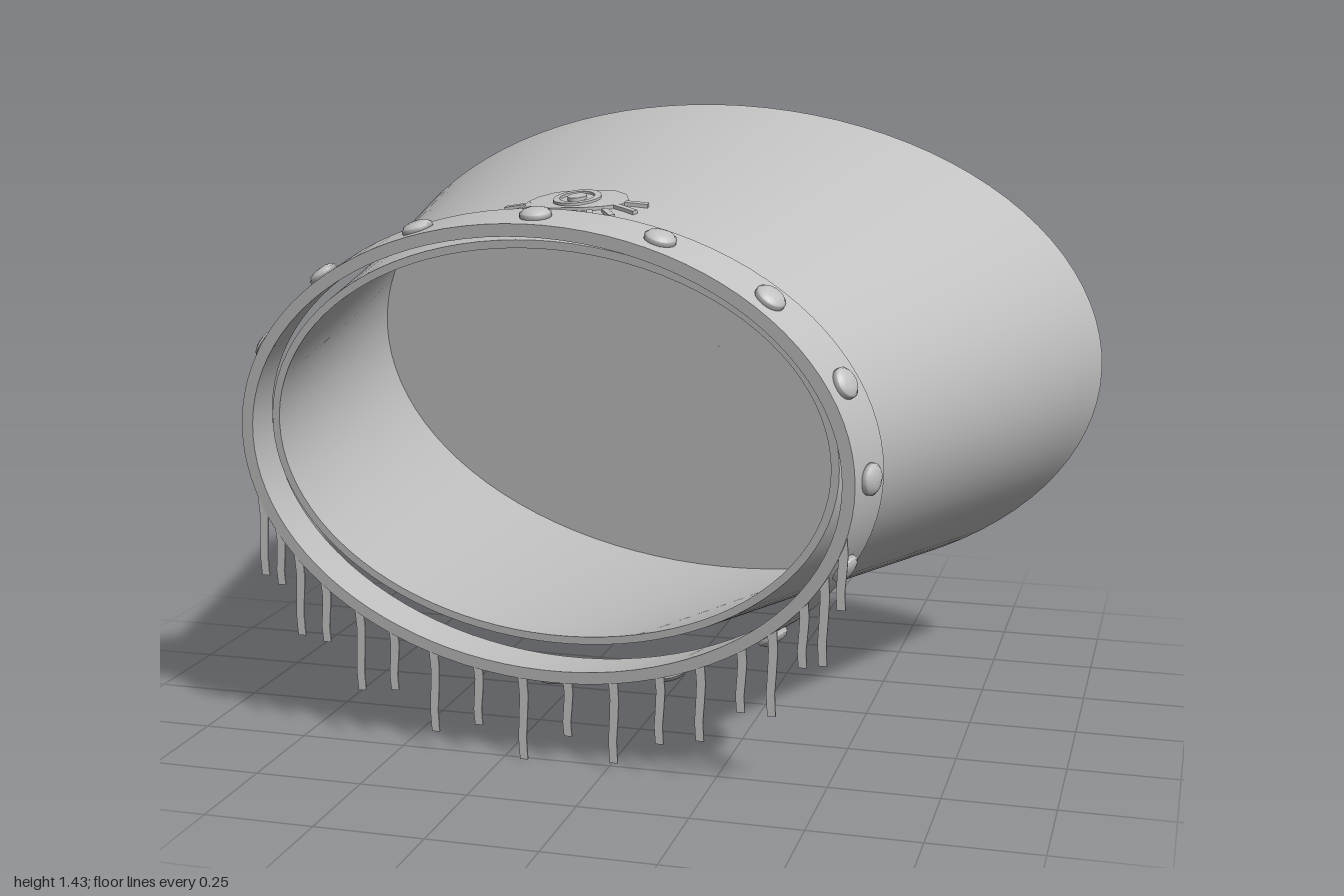
import * as THREE from 'three';

const N = 96;
const TILT_X = 0.09, TILT_Y = 0.079; // every cross-section leans by the same amount
const lerp = THREE.MathUtils.lerp;

// An oval section: centre, radii and depth of its leaning plane
const oval = (cx, cy, rx, ry, z) => ({ cx, cy, rx, ry, z });
const shrink = (s, d, dz = 0) => oval(s.cx, s.cy, s.rx - d, s.ry - d, s.z + dz);
const centre = (s) => oval(s.cx, s.cy, 0.001, 0.001, s.z);
const at = (s, a) => {
  const x = s.rx * Math.cos(a), y = s.ry * Math.sin(a);
  return new THREE.Vector3(s.cx + x, s.cy + y, s.z + TILT_X * x + TILT_Y * y);
};

// Smooth skin through sections; faces outward when they run front to back
function loft(sections) {
  const pos = [], index = [];
  sections.forEach((s, i) => {
    for (let j = 0; j < N; j++) {
      pos.push(...at(s, (j / N) * Math.PI * 2).toArray());
      if (i === 0) continue;
      const k = (j + 1) % N, p = (i - 1) * N, q = i * N;
      index.push(p + j, q + j, p + k, q + j, q + k, p + k);
    }
  });
  const g = new THREE.BufferGeometry();
  g.setAttribute('position', new THREE.Float32BufferAttribute(pos, 3));
  g.setIndex(index);
  g.computeVertexNormals();
  return g;
}

// Flared body, slightly waisted between mouth and back
const mouth = oval(-0.145, 0.735, 0.675, 0.46, 0.52);
const back = oval(0, 0.795, 1, 0.636, -0.54);
function bodyAt(t) {
  const s = {};
  for (const k in mouth) s[k] = lerp(mouth[k], back[k], t);
  s.ry -= 0.008 * Math.sin(Math.PI * t);
  s.cy -= 0.006 * Math.sin(Math.PI * t);
  return s;
}

// Height of the body's upper surface above a point
function topOfBody(x, z) {
  const z0 = mouth.z + TILT_X * (x - mouth.cx) + TILT_Y * mouth.ry;
  const z1 = back.z + TILT_X * (x - back.cx) + TILT_Y * back.ry;
  const s = bodyAt((z0 - z) / (z0 - z1));
  return s.cy + s.ry * Math.sqrt(1 - ((x - s.cx) / s.rx) ** 2);
}

// Flat shape (x, -z) extruded and draped over the body
function drape(shape, low, high) {
  const g = new THREE.ExtrudeGeometry(shape, { depth: high - low, bevelEnabled: false, curveSegments: 16 });
  g.rotateX(-Math.PI / 2);
  const p = g.attributes.position;
  for (let i = 0; i < p.count; i++) {
    p.setY(i, p.getY(i) + low + topOfBody(p.getX(i), p.getZ(i)));
  }
  g.computeVertexNormals();
  return g;
}

const polygon = (pts) => new THREE.Shape(pts.map(([x, z]) => new THREE.Vector2(x, -z)));

// Narrow bar between two points on the ground plan
function bar(x0, z0, x1, z1, w) {
  const l = Math.hypot(x1 - x0, z1 - z0);
  const nx = (-(z1 - z0) / l) * w / 2, nz = ((x1 - x0) / l) * w / 2;
  return polygon([[x0 + nx, z0 + nz], [x1 + nx, z1 + nz], [x1 - nx, z1 - nz], [x0 - nx, z0 - nz]]);
}

export function createModel() {
  const model = new THREE.Group();
  const grey = new THREE.MeshStandardMaterial({ color: 0xc0c0c0 });
  grey.name = 'plain grey';

  const group = (name) => {
    const g = new THREE.Group();
    g.name = name;
    model.add(g);
    return g;
  };
  const add = (parent, name, geometry) => {
    const m = new THREE.Mesh(geometry, grey);
    m.name = name;
    parent.add(m);
    return m;
  };

  // Hollow body with a closed back
  const body = group('body');
  const steps = [...Array(13).keys()].map((i) => bodyAt(i / 12));
  const inner = steps.map((s) => shrink(s, 0.018));
  const sunk = shrink(back, 0.018, 0.01);
  const floor = shrink(back, 0.018, 0.02);
  add(body, 'outerWall', loft(steps));
  add(body, 'innerWall', loft([...inner].reverse()));
  add(body, 'mouthRim', loft([inner[0], steps[0]]));
  add(body, 'backRim', loft([back, inner[12]]));
  add(body, 'backPanel', loft([sunk, centre(sunk)]));
  add(body, 'backPanelInside', loft([centre(floor), floor]));

  // Loose collar around the mouth
  const collar = group('collar');
  const front = oval(-0.152, 0.715, 0.725, 0.52, 0.567);
  const rear = oval(-0.137, 0.723, 0.75, 0.533, 0.445);
  const frontIn = shrink(front, 0.028), rearIn = shrink(rear, 0.028);
  add(collar, 'collarOutside', loft([front, rear]));
  add(collar, 'collarInside', loft([rearIn, frontIn]));
  add(collar, 'collarFront', loft([frontIn, front]));
  add(collar, 'collarBack', loft([rear, rearIn]));

  // Sixteen domed studs standing on the collar
  const studs = group('studs');
  const profile = [[0, -0.006], [0.035, -0.006], [0.035, 0.008], [0.031, 0.009], [0.028, 0.014], [0.016, 0.018], [0, 0.019]];
  const studGeometry = new THREE.LatheGeometry(profile.map(([x, y]) => new THREE.Vector2(x, y)), 20);
  const middle = oval(-0.144, 0.719, 0.738, 0.527, 0.506);
  for (let i = 0; i < 16; i++) {
    const a = (i / 16) * Math.PI * 2;
    const across = at(rear, a).sub(at(front, a));
    const along = at(middle, a + 0.01).sub(at(middle, a - 0.01));
    const stud = add(studs, 'stud', studGeometry);
    stud.position.copy(at(middle, a));
    stud.quaternion.setFromUnitVectors(new THREE.Vector3(0, 1, 0), across.cross(along).normalize());
  }

  // Fringe hanging from the lower front edge: x and lower end of each strand
  const fringe = group('fringe');
  const strands = [
    [-0.84, 0.38], [-0.8, 0.36], [-0.755, 0.24], [-0.69, 0.23], [-0.605, 0.12], [-0.52, 0.13],
    [-0.42, 0.04], [-0.31, 0.07], [-0.2, 0], [-0.09, 0.07], [0.02, 0.02], [0.13, 0.08],
    [0.225, 0.1], [0.32, 0.18], [0.39, 0.18], [0.46, 0.3], [0.505, 0.31], [0.545, 0.44],
  ];
  const edge = shrink(front, 0.01);
  for (const [x, low] of strands) {
    const a = -Math.acos((x - edge.cx) / edge.rx);
    const top = at(edge, a);
    const h = top.y - low;
    const g = new THREE.BoxGeometry(0.021, h, 0.005, 1, 4, 1);
    const p = g.attributes.position;
    for (let i = 0; i < p.count; i++) {
      const f = 0.5 - p.getY(i) / h;
      p.setX(i, p.getX(i) * (1 - 0.12 * f) + 0.003 * Math.sin(f * 6));
      p.setZ(i, p.getZ(i) - TILT_Y * f * h * 0.5);
    }
    g.computeVertexNormals();
    add(fringe, 'strand', g).position.set(x, top.y - h / 2, top.z - 0.006);
  }

  // Raised eye ornament on top of the body
  const ornament = group('ornament');
  const half = [[0, 0.215], [0.03, 0.2], [0.07, 0.2], [0.105, 0.225], [0.12, 0.26], [0.115, 0.295], [0.08, 0.32], [0.04, 0.335]];
  const outline = [...half.map(([x, z]) => [x - 0.14, z]), ...half.slice(1).reverse().map(([x, z]) => [-0.14 - x, z])];
  add(ornament, 'eyePlate', drape(polygon(outline), -0.01, 0.008));
  const disc = (r) => new THREE.Shape().absarc(-0.14, -0.265, r, 0, Math.PI * 2);
  const iris = disc(0.055);
  iris.holes.push(disc(0.04));
  add(ornament, 'irisRing', drape(iris, 0.007, 0.013));
  add(ornament, 'pupil', drape(disc(0.022), 0.007, 0.015));
  for (const s of [-1, 1]) {
    const lashes = [[0.11, 0.275, 0.17, 0.275], [0.1, 0.3, 0.155, 0.33], [0.085, 0.335, 0.115, 0.375], [0.055, 0.35, 0.075, 0.41], [0.02, 0.355, 0.025, 0.4]];
    for (const [x0, z0, x1, z1] of lashes) {
      add(ornament, 'lash', drape(bar(s * x0 - 0.14, z0, s * x1 - 0.14, z1, 0.014 * s), -0.008, 0.008));
    }
  }
  return model;
}
